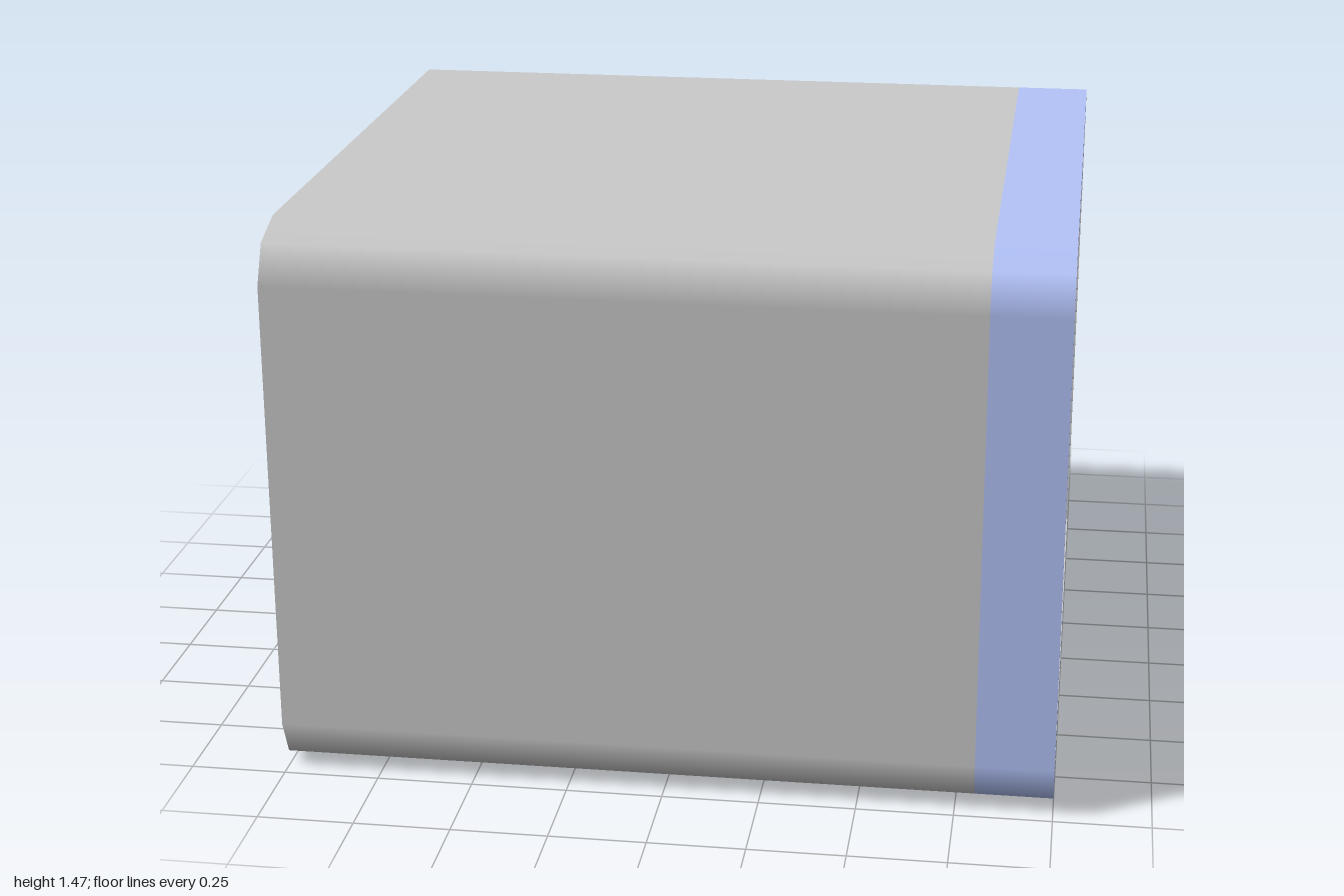
import * as THREE from 'three';

const H = 1.47, DEPTH = 1.92;
const grey = new THREE.MeshStandardMaterial({ color: 0xcccccc });
const blue = new THREE.MeshStandardMaterial({ color: 0xb4c4fa });
const inside = new THREE.MeshStandardMaterial({ color: 0xcccccc, side: THREE.BackSide });

// Rounded outline, counter-clockwise seen from the open end; two segments per corner
function outline() {
  const pts = [];
  [[-1, -1], [1, -1], [1, 1], [-1, 1]].forEach(([sx, sy], corner) => {
    for (let k = 0; k <= 2; k++) {
      const a = Math.PI * (1 + corner / 2 + k / 4);
      pts.push({
        p: new THREE.Vector2(sx * 0.84 + 0.16 * Math.cos(a), H / 2 + sy * 0.595 + 0.14 * Math.sin(a)),
        n: new THREE.Vector2(Math.cos(a), Math.sin(a)),
      });
    }
  });
  return pts;
}

// Smooth casing sleeve between two x positions
function sleeve(x0, x1) {
  const pts = outline(), pos = [], nor = [], index = [];
  pts.forEach(({ p, n }, i) => {
    const j = (i + 1) % pts.length;
    pos.push(x0, p.y, -p.x, x1, p.y, -p.x);
    nor.push(0, n.y, -n.x, 0, n.y, -n.x);
    index.push(2 * i, 2 * j, 2 * j + 1, 2 * i, 2 * j + 1, 2 * i + 1);
  });
  const g = new THREE.BufferGeometry();
  g.setAttribute('position', new THREE.Float32BufferAttribute(pos, 3));
  g.setAttribute('normal', new THREE.Float32BufferAttribute(nor, 3));
  g.setIndex(index);
  return g;
}

// Tray side: rounded front top corner, thinner towards the top
function trayWallGeometry() {
  const s = new THREE.Shape();
  s.moveTo(-DEPTH, 0.05);
  s.lineTo(0, 0.05);
  s.lineTo(0, 0.2);
  s.absellipse(-0.18, 0.2, 0.18, 0.22, 0, Math.PI / 2, false);
  s.lineTo(-DEPTH, 0.42);
  s.closePath();
  const g = new THREE.ExtrudeGeometry(s, { depth: 1, bevelEnabled: false, curveSegments: 10 });
  const pos = g.attributes.position;
  for (let i = 0; i < pos.count; i++) {
    const half = THREE.MathUtils.mapLinear(pos.getY(i), 0.05, 0.42, 0.016, 0.006);
    pos.setZ(i, pos.getZ(i) > 0.5 ? half : -half);
  }
  g.computeVertexNormals();
  return g;
}

export function createModel() {
  const root = new THREE.Group();
  const add = (parent, name, geometry, material) => {
    const m = new THREE.Mesh(geometry, material);
    m.name = name;
    parent.add(m);
    return m;
  };

  // Casing and coloured front band
  add(root, 'casing', sleeve(-1, 0.8), grey);
  add(root, 'frontBand', sleeve(0.8, 1), blue);

  // Closed end
  const endShape = new THREE.Shape(outline().map((o) => o.p));
  add(root, 'backPanel', new THREE.ShapeGeometry(endShape).rotateY(-Math.PI / 2), grey).position.x = -1;

  // Rim around the opening
  const rimShape = endShape.clone();
  rimShape.holes.push(new THREE.Path([
    new THREE.Vector2(-0.905, 0.07), new THREE.Vector2(-0.905, 1.4),
    new THREE.Vector2(0.905, 1.4), new THREE.Vector2(0.905, 0.07),
  ]));
  add(root, 'frontRim', new THREE.ShapeGeometry(rimShape).rotateY(Math.PI / 2), blue).position.x = 1;

  // Cavity: a box seen from within, with its open end left off
  const cavity = new THREE.BoxGeometry(1.95, 1.33, 1.81);
  cavity.setIndex(Array.from(cavity.index.array).slice(6));
  add(root, 'cavity', cavity, inside).position.set(0.025, 0.735, 0);

  // Three stacked trays
  const wall = trayWallGeometry();
  const floor = new THREE.BoxGeometry(DEPTH, 0.07, 1.73);
  [0.087, 0.488, 0.928].forEach((y, i) => {
    const tray = new THREE.Group();
    tray.name = `tray${i + 1}`;
    add(tray, 'trayFloor', floor, grey).position.set(-DEPTH / 2, 0.035, 0);
    for (const side of [-1, 1]) add(tray, 'trayWall', wall, grey).position.z = side * 0.849;
    tray.position.set(0.985, y, 0);
    root.add(tray);
  });
  return root;
}
